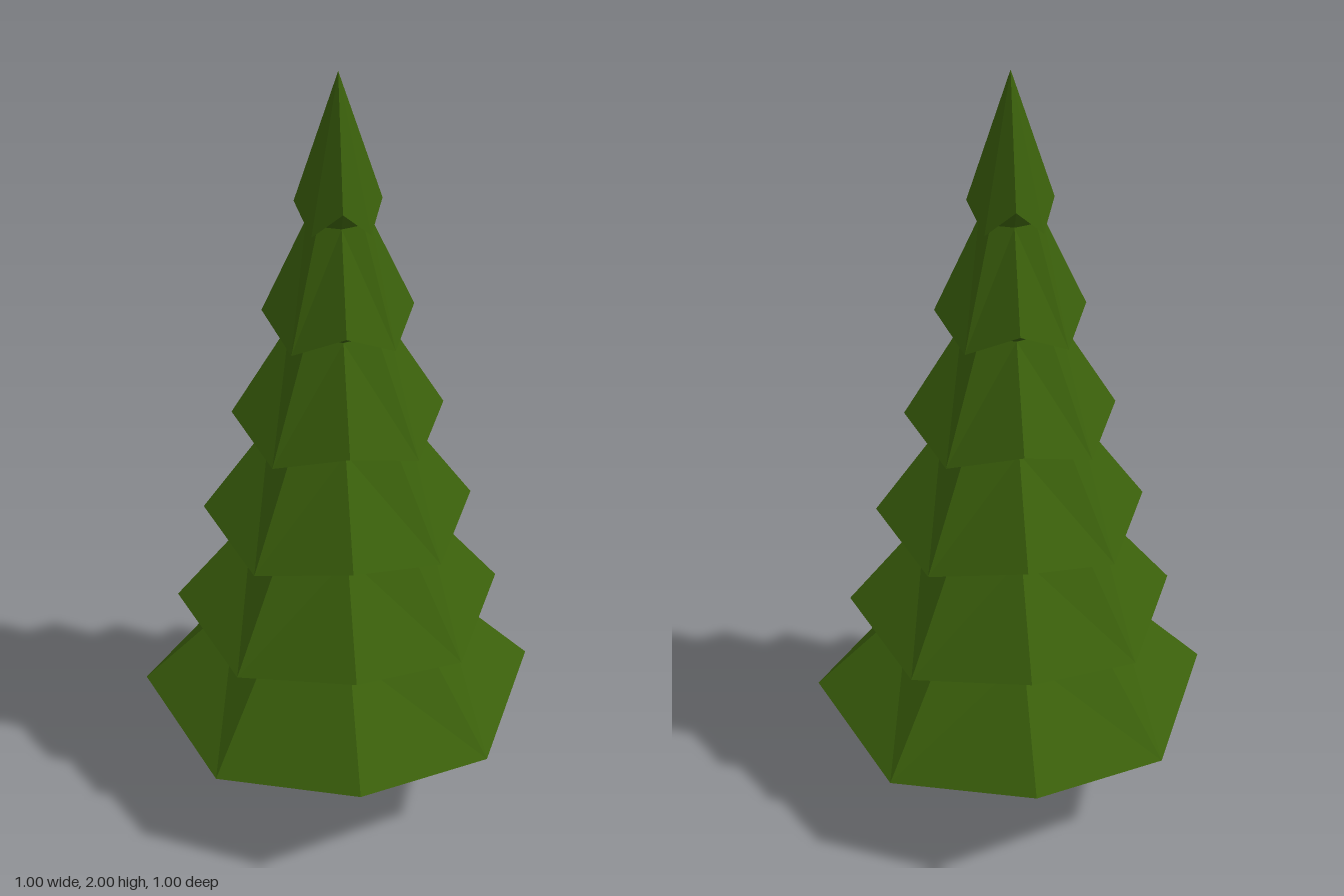
import * as THREE from 'three';

const SIDES = 8;

// Skins a stack of eight-sided rings, listed from bottom to top.
// Ring: [radius, y, corner radius, corner y]; the last two shape the diagonal corners.
function loft(rings) {
  const point = ([r, y, cr = r, cy = y], j) => {
    const a = (j % SIDES) * Math.PI * 2 / SIDES;
    const radius = j % 2 ? cr : r;
    return [Math.sin(a) * radius, j % 2 ? cy : y, Math.cos(a) * radius];
  };
  const positions = [];
  for (let i = 0; i < rings.length - 1; i++) {
    const [low, high] = [rings[i], rings[i + 1]];
    for (let j = 0; j < SIDES; j++) {
      const a = point(low, j), b = point(low, j + 1);
      const c = point(high, j + 1), d = point(high, j);
      // Rings of radius zero close to a point; other quads split in mirror pairs
      if (low[0] === 0) positions.push(...a, ...c, ...d);
      else if (high[0] === 0) positions.push(...a, ...b, ...c);
      else if (j % 2) positions.push(...a, ...b, ...d, ...b, ...c, ...d);
      else positions.push(...a, ...b, ...c, ...a, ...c, ...d);
    }
  }
  const geometry = new THREE.BufferGeometry();
  geometry.setAttribute('position', new THREE.Float32BufferAttribute(positions, 3));
  geometry.computeVertexNormals();
  return geometry;
}

export function createModel() {
  const tree = new THREE.Group();
  tree.name = 'pineTree';
  const bark = new THREE.MeshStandardMaterial({ color: 0x5a3d28, flatShading: true });
  const needles = new THREE.MeshStandardMaterial({ color: 0x3a5f0b, flatShading: true });

  const add = (name, rings, material) => {
    const mesh = new THREE.Mesh(loft(rings), material);
    mesh.name = name;
    tree.add(mesh);
  };

  // Trunk, pinched in the middle
  add('trunk', [[0, 0], [0.1, 0], [0.08, 0.18], [0.092, 0.306]], bark);

  // Branch tiers: drooping rim radius and height, and the neck ring above each
  const tiers = [
    { rim: 0.5, y: 0.278, neck: [0.273, 0.583] },
    { rim: 0.405, y: 0.55, neck: [0.222, 0.85] },
    { rim: 0.329, y: 0.82, neck: [0.172, 1.117] },
    { rim: 0.252, y: 1.092, neck: [0.118, 1.39] },
    { rim: 0.175, y: 1.365, neck: [0.075, 1.657] },
    { rim: 0.098, y: 1.637, neck: [0, 2] },
  ];
  tiers.forEach(({ rim, y, neck }, i) => {
    const under = i ? [tiers[i - 1].neck] : [[0, 0.305], [0.33, 0.305]];
    add(`branchTier${i + 1}`, [...under, [rim, y, rim * 1.055, y + 0.065], neck], needles);
  });

  return tree;
}
